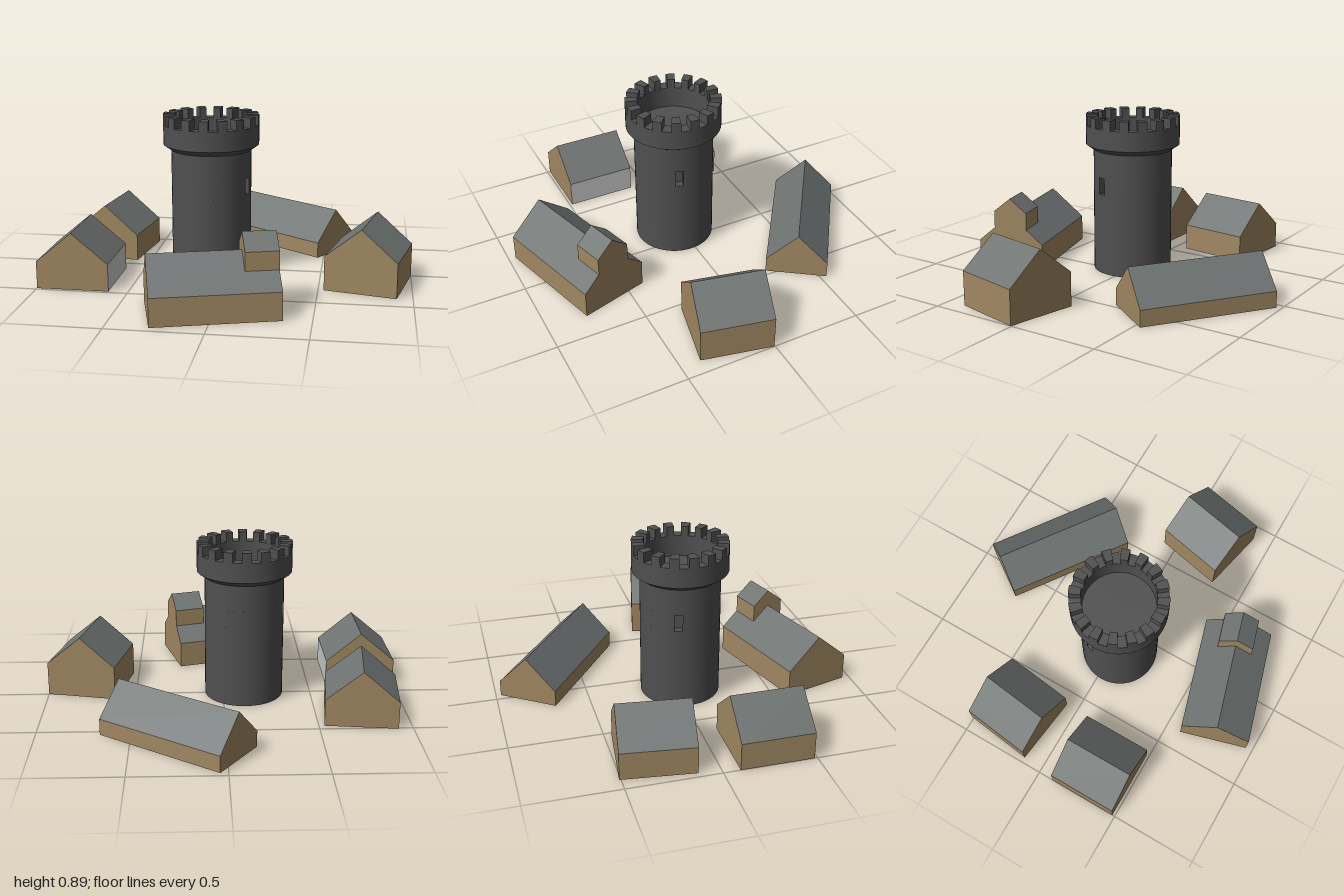
import * as THREE from 'three';
import { toCreasedNormals } from 'three/addons/utils/BufferGeometryUtils.js';

const mat = (color, side = THREE.FrontSide) => new THREE.MeshStandardMaterial({ color, side });
const stone = mat(0x505050);
const recessStone = mat(0x505050, THREE.DoubleSide);
const timber = mat(0xa08862);
const slate = mat(0x6f7473);
const plain = mat(0xcccccc);

function add(parent, name, geometry, material) {
  const mesh = new THREE.Mesh(geometry, material);
  mesh.name = name;
  parent.add(mesh);
  return mesh;
}

// Flat-faced geometry from convex polygons, corners counter-clockwise
function polygons(faces) {
  const pos = [];
  for (const f of faces)
    for (let i = 1; i < f.length - 1; i++) pos.push(...f[0], ...f[i], ...f[i + 1]);
  const g = new THREE.BufferGeometry();
  g.setAttribute('position', new THREE.Float32BufferAttribute(pos, 3));
  g.computeVertexNormals();
  return g;
}

// Gabled block with its ridge along x
function gabledBlock(name, length, width, base, eave, ridge, sideMaterial = timber) {
  const g = new THREE.Group();
  g.name = name;
  const h = length / 2, w = width / 2;
  const gable = [[h, base, w], [h, base, -w], [h, eave, -w], [h, ridge, 0], [h, eave, w]];
  const farGable = gable.map(([x, y, z]) => [-x, y, z]).reverse();
  add(g, 'walls', polygons([
    gable, farGable,
    [[h, base, -w], [-h, base, -w], [-h, eave, -w], [h, eave, -w]],
    [[-h, base, -w], [h, base, -w], [h, base, w], [-h, base, w]],
  ]), timber);
  add(g, 'sideWall', polygons([[[-h, base, w], [h, base, w], [h, eave, w], [-h, eave, w]]]), sideMaterial);
  add(g, 'roof', polygons([
    [[-h, eave, w], [h, eave, w], [h, ridge, 0], [-h, ridge, 0]],
    [[h, eave, -w], [-h, eave, -w], [-h, ridge, 0], [h, ridge, 0]],
  ]), slate);
  return g;
}

function place(group, x, z, degrees) {
  group.position.set(x, 0, z);
  group.rotation.y = THREE.MathUtils.degToRad(degrees);
  return group;
}

function createTower() {
  const tower = new THREE.Group();
  tower.name = 'tower';
  const R = 0.222, TOP = 0.265, INNER = 0.2, SEG = 48;
  const slitLow = 0.46, slitHigh = 0.555, slitWidth = 0.045;

  // Shaft in three bands; the middle one is split by two opposite arrow slits
  const band = (y0, y1, start = 0, sweep = Math.PI * 2, seg = SEG) => {
    const g = new THREE.CylinderGeometry(R, R, y1 - y0, seg, 1, true, start, sweep);
    add(tower, 'shaft', g.translate(0, (y0 + y1) / 2, 0), stone);
  };
  band(0, slitLow);
  band(slitHigh, 0.7);
  const slitAngle = THREE.MathUtils.degToRad(72);
  const half = Math.asin(slitWidth / 2 / R);
  for (const a of [slitAngle, slitAngle + Math.PI]) {
    band(slitLow, slitHigh, a + half, Math.PI - 2 * half, SEG / 2);
    // Recess: a box without its outer face
    const depth = 0.04;
    const box = new THREE.BoxGeometry(slitWidth, slitHigh - slitLow, depth);
    const index = Array.from(box.index.array);
    index.splice(24, 6);
    box.setIndex(index);
    box.translate(0, (slitLow + slitHigh) / 2, R * Math.cos(half) - depth / 2);
    add(tower, 'arrowSlit', box.rotateY(a), recessStone);
  }
  add(tower, 'base', new THREE.CircleGeometry(R, SEG).rotateX(Math.PI / 2), stone);

  // Flared parapet with the fighting floor inside
  const profile = [[R, 0.7], [TOP, 0.73], [TOP, 0.84], [INNER, 0.84], [INNER, 0.72], [0, 0.72]];
  const parapet = new THREE.LatheGeometry(profile.map(p => new THREE.Vector2(...p)), SEG);
  add(tower, 'parapet', toCreasedNormals(parapet, 0.4), stone);

  // Ring of merlons
  const count = 16, m = Math.PI / count / 2;
  const arc = new THREE.Shape();
  arc.absarc(0, 0, TOP, -m, m, false);
  arc.absarc(0, 0, INNER, m, -m, true);
  const merlon = new THREE.ExtrudeGeometry(arc, { depth: 0.055, bevelEnabled: false, curveSegments: 3 });
  merlon.rotateX(-Math.PI / 2).translate(0, 0.84, 0);
  for (let i = 0; i < count; i++)
    add(tower, 'merlon', merlon, stone).rotation.y = (i / count) * Math.PI * 2;
  return tower;
}

export function createModel() {
  const model = new THREE.Group();
  model.name = 'towerAndHouses';
  model.add(place(createTower(), -0.12, 0.025, 0));

  // Houses around the tower
  model.add(place(gabledBlock('longHouse', 0.759, 0.34, 0, 0.09, 0.26), 0.254, -0.615, -35.2));
  model.add(place(gabledBlock('backRightHouse', 0.394, 0.394, 0, 0.15, 0.315), -0.749, -0.29, 83));
  model.add(place(gabledBlock('frontRightHouse', 0.394, 0.394, 0, 0.15, 0.315, plain), -0.803, 0.288, 90));
  model.add(place(gabledBlock('leftHouse', 0.394, 0.394, 0, 0.19, 0.355), 0.765, 0.155, 77.5));

  // Front hall with a raised turret at one gable end
  const hall = place(gabledBlock('hall', 0.66, 0.39, 0, 0.15, 0.315), -0.017, 0.682, 16);
  const turret = gabledBlock('turret', 0.175, 0.197, 0.232, 0.33, 0.41);
  turret.position.x = 0.33 - 0.0875 + 0.0005;
  hall.add(turret);
  model.add(hall);
  return model;
}
